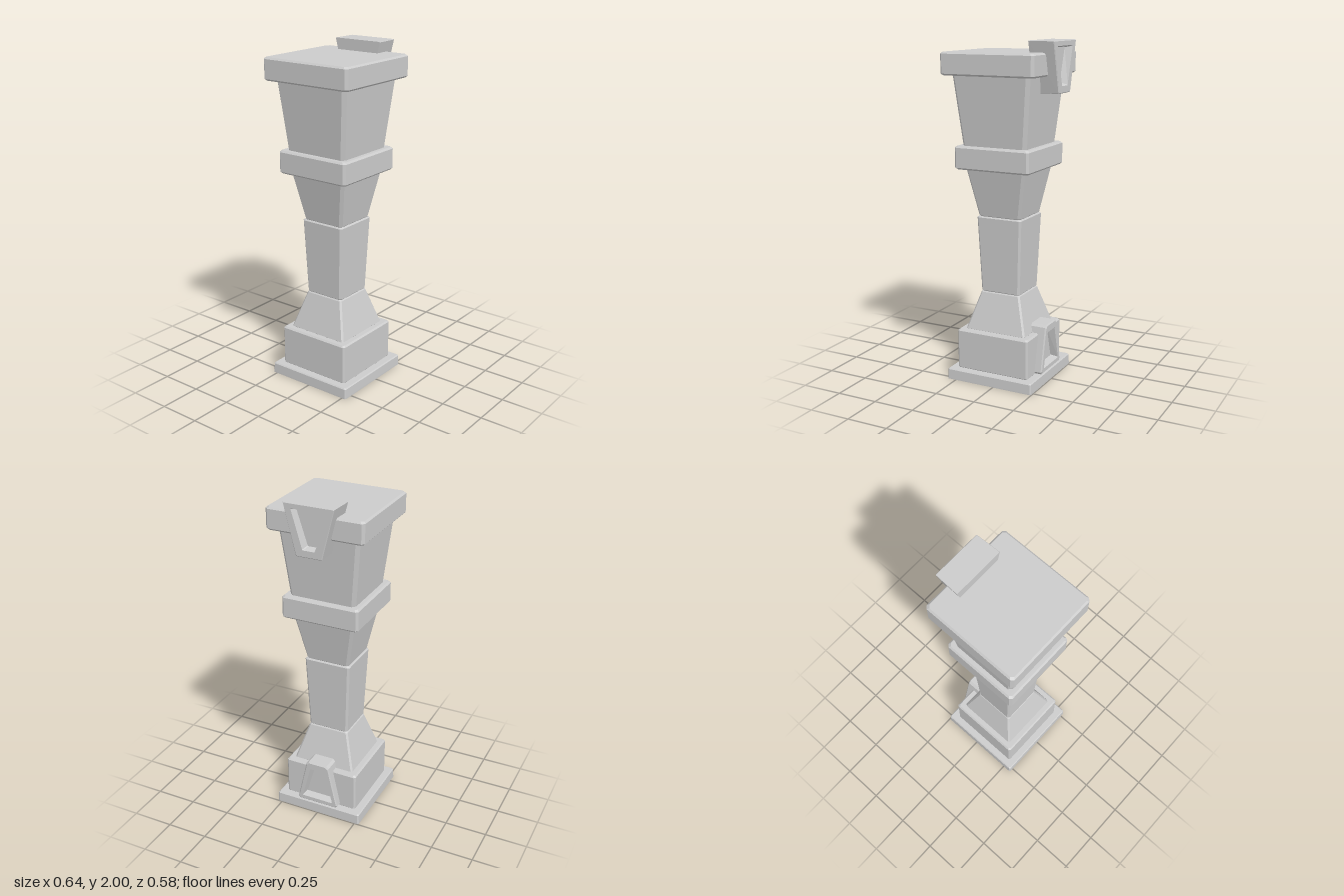
import * as THREE from 'three';

const material = new THREE.MeshStandardMaterial({ color: 0xcccccc, flatShading: true });
const openMaterial = new THREE.MeshStandardMaterial({ color: 0xcccccc, flatShading: true, side: THREE.DoubleSide });

// Cut each corner of a convex polygon [u, v][] at distance c
function chamfer(points, c) {
  const out = [];
  points.forEach((p, i) => {
    const n = points.length;
    for (const q of [points[(i + n - 1) % n], points[(i + 1) % n]]) {
      const t = c / Math.hypot(q[0] - p[0], q[1] - p[1]);
      out.push([p[0] + (q[0] - p[0]) * t, p[1] + (q[1] - p[1]) * t]);
    }
  });
  return out;
}

// Skin a list of equal-sized rings of Vector3, with optional end caps
function loft(rings, capStart = true, capEnd = true) {
  const pos = [];
  const tri = (...pts) => pts.forEach((p) => pos.push(p.x, p.y, p.z));
  const n = rings[0].length;
  for (let r = 0; r < rings.length - 1; r++) {
    const a = rings[r], b = rings[r + 1];
    for (let i = 0; i < n; i++) {
      const j = (i + 1) % n;
      tri(a[i], a[j], b[j]);
      tri(a[i], b[j], b[i]);
    }
  }
  const s = rings[0], e = rings[rings.length - 1];
  for (let i = 1; i < n - 1; i++) {
    if (capStart) tri(s[0], s[i + 1], s[i]);
    if (capEnd) tri(e[0], e[i], e[i + 1]);
  }
  const g = new THREE.BufferGeometry();
  g.setAttribute('position', new THREE.Float32BufferAttribute(pos, 3));
  g.computeVertexNormals();
  return g;
}

// Square tapered block with bevelled edges: half widths w0 (bottom) and w1 (top)
function block(y0, y1, w0, w1, bevel, corner, open = false) {
  const ring = (y, w) => chamfer([[-w, -w], [w, -w], [w, w], [-w, w]], corner)
    .map(([z, x]) => new THREE.Vector3(x, y, z));
  const rings = [ring(y0 + bevel, w0), ring(y1 - bevel, w1), ring(y1, w1 - bevel)];
  rings.unshift(ring(y0, open ? w0 : w0 - bevel));
  return loft(rings, !open);
}

// Trapezoid bracket along +x with a sunken panel in its outer face
function bracket({ x0, x1, outer, panel, flare, bevel, corner, depth }) {
  const ring = (x, [y0, y1, h0, h1], inset, c, k = 1) => chamfer([
    [y0 + inset, -(h0 * k - inset)], [y1 - inset, -(h1 * k - inset)],
    [y1 - inset, h1 * k - inset], [y0 + inset, h0 * k - inset],
  ], c).map(([y, z]) => new THREE.Vector3(x, y, z));
  return loft([
    ring(x0, outer, 0, corner, flare),
    ring(x1 - bevel, outer, 0, corner),
    ring(x1, outer, bevel, corner),
    ring(x1, panel, 0, 0.004),
    ring(x1 - depth, panel, 0.01, 0.004),
  ]);
}

export function createModel() {
  const group = new THREE.Group();
  const add = (name, geometry, mat = material) => {
    const mesh = new THREE.Mesh(geometry, mat);
    mesh.name = name;
    group.add(mesh);
    return mesh;
  };

  // Stacked column: name, bottom, top, half widths, edge bevel, corner cut
  const stack = [
    ['plinth', 0, 0.065, 0.277, 0.275, 0.006, 0.007, true],
    ['baseBlock', 0.06, 0.305, 0.231, 0.231, 0.009, 0.01],
    ['lowerTaper', 0.3, 0.53, 0.193, 0.127, 0.006, 0.01],
    ['shaft', 0.528, 0.987, 0.125, 0.143, 0.007, 0.012],
    ['upperTaper', 0.985, 1.275, 0.136, 0.189, 0.006, 0.016],
    ['band', 1.27, 1.405, 0.236, 0.236, 0.01, 0.013],
    ['upperBlock', 1.4, 1.81, 0.202, 0.243, 0.005, 0.02],
    ['cap', 1.805, 1.935, 0.291, 0.291, 0.01, 0.015],
  ];
  for (const [name, y0, y1, w0, w1, bevel, corner, open] of stack) {
    const mesh = add(name, block(y0, y1, w0, w1, bevel, corner, open), open ? openMaterial : material);
    mesh.position.x = -0.029;
  }

  // Brackets on the left side: [bottom, top, half width at bottom, half width at top]
  add('upperBracket', bracket({
    x0: 0.165, x1: 0.317, outer: [1.71, 2.0, 0.077, 0.15], panel: [1.75, 1.97, 0.037, 0.103],
    flare: 1.04, bevel: 0.004, corner: 0.003, depth: 0.045,
  }));
  add('lowerBracket', bracket({
    x0: 0.13, x1: 0.248, outer: [0.07, 0.355, 0.134, 0.072], panel: [0.1, 0.308, 0.1, 0.047],
    flare: 1, bevel: 0.007, corner: 0.013, depth: 0.045,
  }));
  return group;
}
